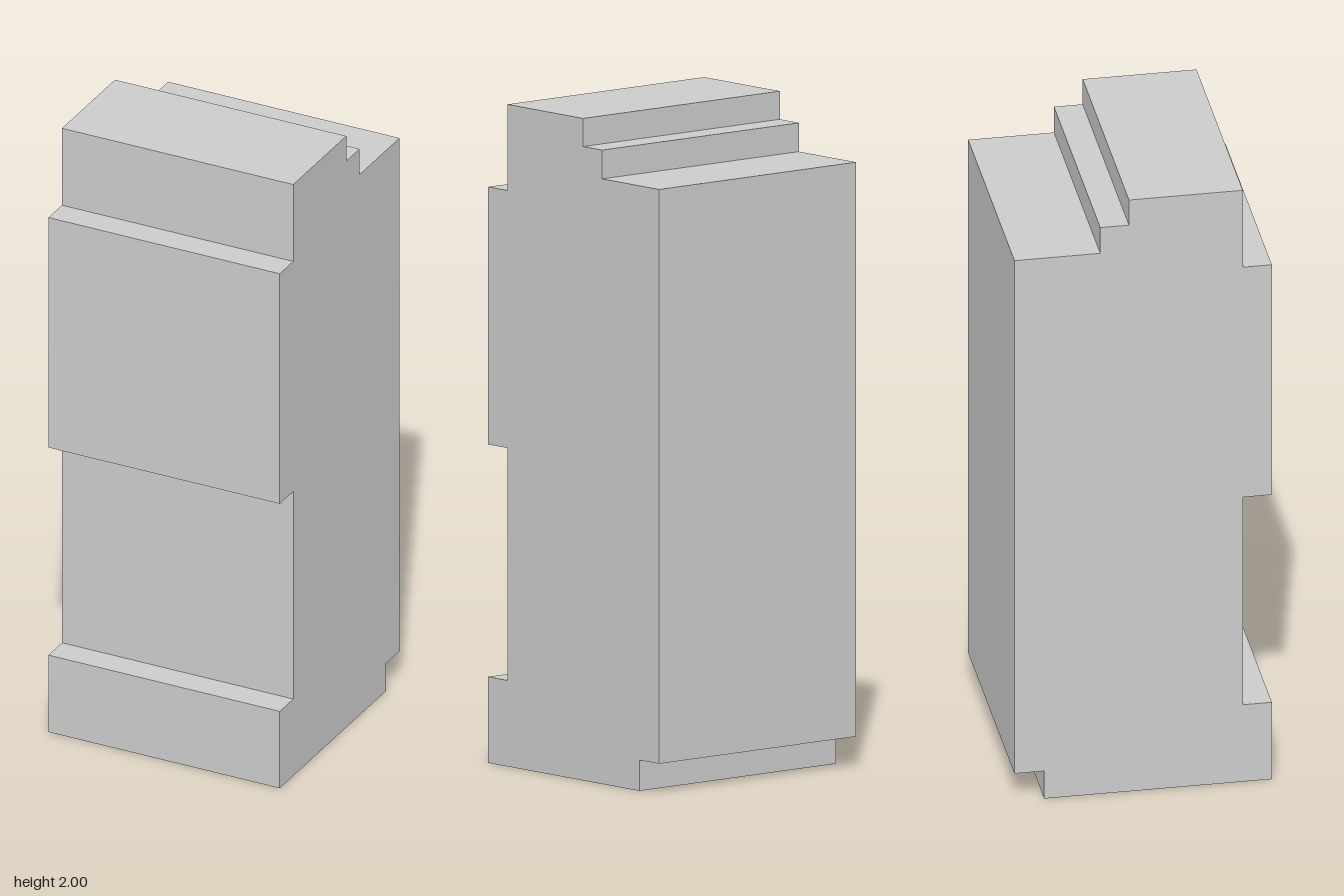
import * as THREE from 'three';

export function createModel() {
  const group = new THREE.Group();
  group.name = 'steppedBlock';
  const width = 0.776;

  // Side profile as [z, y], from the bottom front corner up the front and down the back
  const profile = [
    [0.39, 0], [0.39, 0.26],          // front foot ledge
    [0.302, 0.26], [0.302, 0.962],    // front recess
    [0.39, 0.962], [0.39, 1.74],      // raised front panel
    [0.302, 1.74], [0.302, 2],        // top block
    [-0.043, 2], [-0.043, 1.915],     // rear steps
    [-0.13, 1.915], [-0.13, 1.828],
    [-0.39, 1.828], [-0.39, 0.093],   // back wall
    [-0.3, 0.093], [-0.3, 0],         // rear bottom notch
  ];
  const shape = new THREE.Shape(profile.map(([z, y]) => new THREE.Vector2(-z, y)));

  // Extrude across the width, then turn so the profile faces sideways
  const geometry = new THREE.ExtrudeGeometry(shape, { depth: width, bevelEnabled: false });
  geometry.translate(0, 0, -width / 2);
  geometry.rotateY(Math.PI / 2);

  const body = new THREE.Mesh(geometry, new THREE.MeshStandardMaterial({ color: 0xcccccc, flatShading: true }));
  body.name = 'body';
  group.add(body);
  return group;
}
